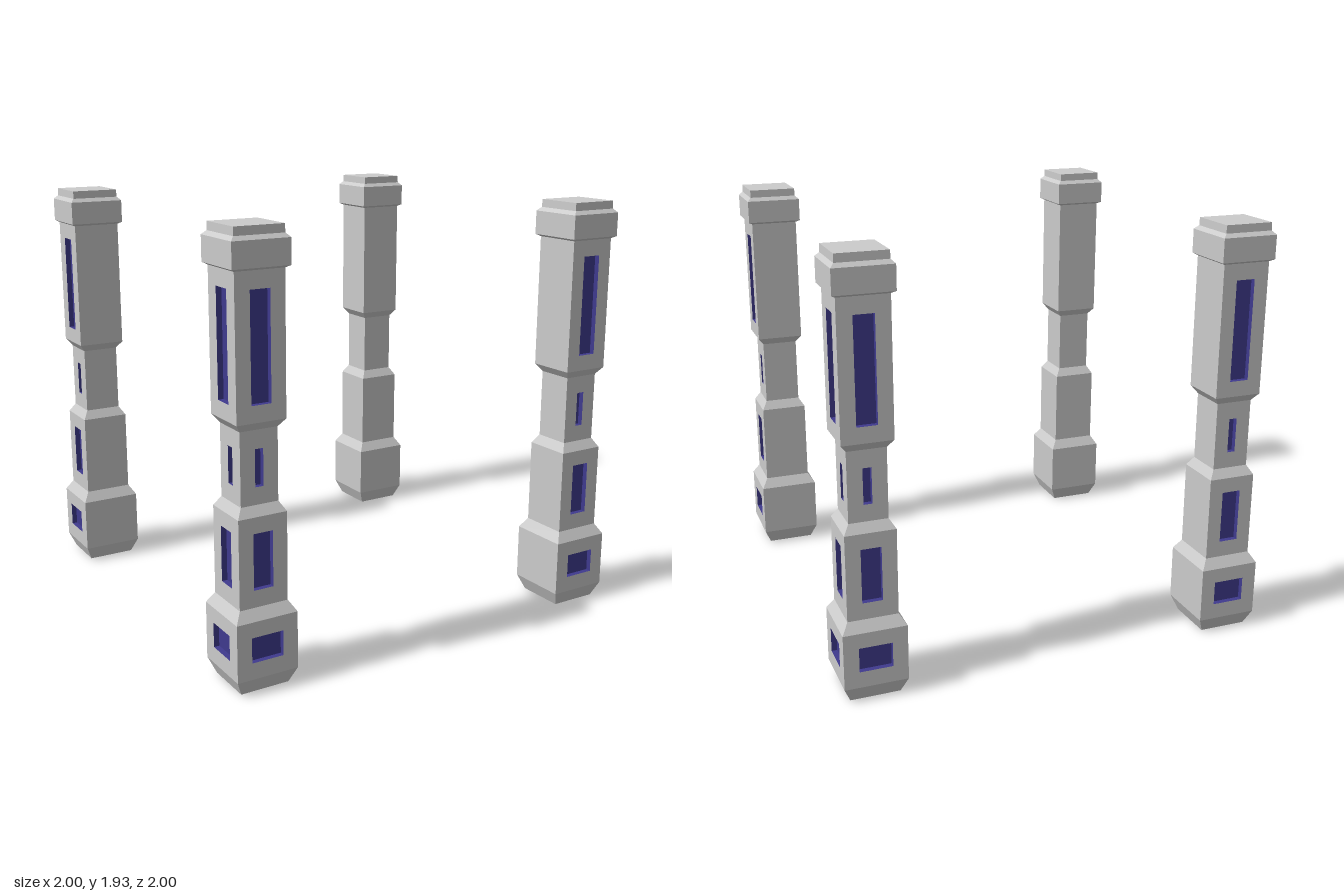
import * as THREE from 'three';

// Square column section: [height, half width]
const PROFILE = [
  [0, 0.112], [0.07, 0.142], [0.325, 0.142], [0.373, 0.112], [0.763, 0.112], [0.805, 0.086],
  [1.12, 0.086], [1.155, 0.112], [1.762, 0.112], [1.772, 0.13], [1.88, 0.13], [1.897, 0.113], [1.933, 0.112],
];
// Recessed panels, keyed by the profile band they sit in: [half width, bottom, top]
const PANELS = {
  1: [0.074, 0.144, 0.256],
  3: [0.045, 0.448, 0.693],
  5: [0.019, 0.88, 1.04],
  7: [0.045, 1.227, 1.688],
};
const DEPTH = 0.025;
const OFFSET = 0.858;

// Corners run counter-clockwise seen from outside
function quad(out, a, b, c, d) {
  out.push(...a, ...b, ...c, ...a, ...c, ...d);
}

// Strips joining two four-cornered loops
function bridge(out, outer, inner) {
  for (let i = 0; i < 4; i++) {
    const j = (i + 1) % 4;
    quad(out, outer[i], outer[j], inner[j], inner[i]);
  }
}

const rect = (w, y0, y1, z) => [[-w, y0, z], [w, y0, z], [w, y1, z], [-w, y1, z]];

function toMesh(points, material, name) {
  const geometry = new THREE.BufferGeometry();
  geometry.setAttribute('position', new THREE.Float32BufferAttribute(points, 3));
  geometry.computeVertexNormals();
  const mesh = new THREE.Mesh(geometry, material);
  mesh.name = name;
  return mesh;
}

// One face of the column, facing +z
function createSide(hasPanels, stone, blue) {
  const side = new THREE.Group();
  side.name = hasPanels ? 'panelledSide' : 'plainSide';
  const wall = [];
  for (let i = 0; i < PROFILE.length - 1; i++) {
    const [y0, h0] = PROFILE[i];
    const [y1, h1] = PROFILE[i + 1];
    const band = [[-h0, y0, h0], [h0, y0, h0], [h1, y1, h1], [-h1, y1, h1]];
    const panel = hasPanels && PANELS[i];
    if (!panel) {
      quad(wall, ...band);
      continue;
    }
    // Wall around the opening, then the recess behind it
    const opening = rect(...panel, h0);
    const back = rect(...panel, h0 - DEPTH);
    bridge(wall, band, opening);
    const recess = [];
    bridge(recess, opening, back);
    quad(recess, ...back);
    side.add(toMesh(recess, blue, 'recessedPanel'));
  }
  side.add(toMesh(wall, stone, 'wall'));
  return side;
}

function createColumn(stone, blue) {
  const column = new THREE.Group();
  column.name = 'column';
  // Panels only on the two outward sides, +z and +x
  for (let k = 0; k < 4; k++) {
    const side = createSide(k < 2, stone, blue);
    side.rotation.y = k * Math.PI / 2;
    column.add(side);
  }
  // Top and bottom ends
  const [topY, t] = PROFILE[PROFILE.length - 1];
  const b = PROFILE[0][1];
  const top = [], bottom = [];
  quad(top, [-t, topY, t], [t, topY, t], [t, topY, -t], [-t, topY, -t]);
  quad(bottom, [-b, 0, -b], [b, 0, -b], [b, 0, b], [-b, 0, b]);
  column.add(toMesh(top, stone, 'topEnd'), toMesh(bottom, stone, 'bottomEnd'));
  return column;
}

export function createModel() {
  const model = new THREE.Group();
  model.name = 'fourColumns';
  const stone = new THREE.MeshStandardMaterial({ color: 0xcccccc, flatShading: true });
  const blue = new THREE.MeshStandardMaterial({ color: 0x3f3a8e, flatShading: true });
  // One column per corner, turned so its panels face outward
  for (let k = 0; k < 4; k++) {
    const corner = new THREE.Group();
    corner.name = 'cornerColumn' + (k + 1);
    const column = createColumn(stone, blue);
    column.position.set(OFFSET, 0, OFFSET);
    corner.add(column);
    corner.rotation.y = k * Math.PI / 2;
    model.add(corner);
  }
  return model;
}
